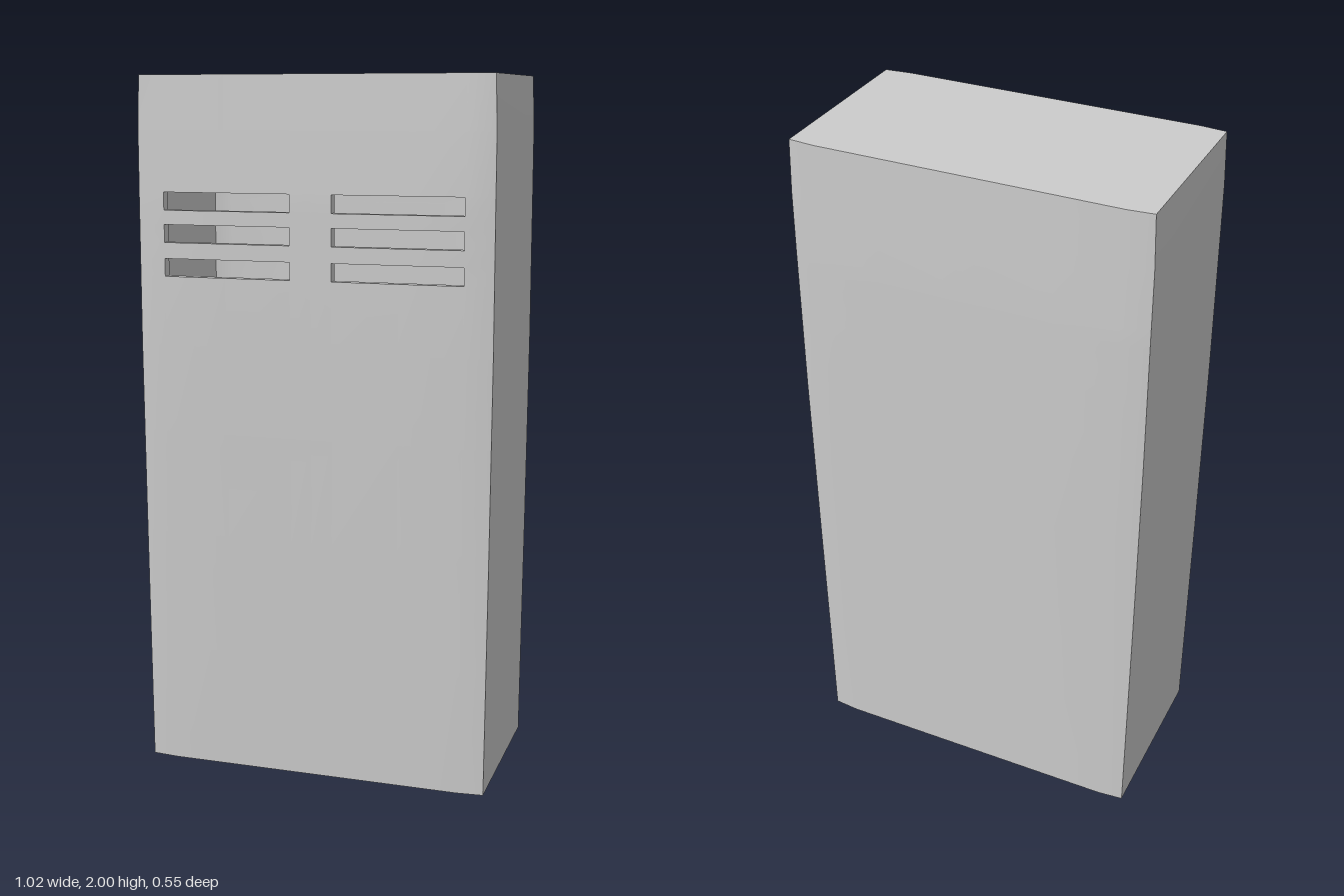
import * as THREE from 'three';

const T = 0.03;            // sheet thickness
const W = 0.51;            // nominal half width
const H = 2;
const slotX = [[-0.43, -0.06], [0.06, 0.43]];
const slotY = [[1.445, 1.495], [1.54, 1.59], [1.63, 1.68]];
const xs = [-W, -0.43, -0.25, -0.06, 0, 0.06, 0.25, 0.43, W];
const ys = [0, 0.35, 0.7, 1, 1.25, ...slotY.flat(), 1.85, H];

// piecewise linear lookup
function lerpTable(table, v) {
  for (let i = 1; i < table.length; i++) {
    const [a, fa] = table[i - 1], [b, fb] = table[i];
    if (v <= b) return fa + (fb - fa) * (v - a) / (b - a);
  }
  return table[table.length - 1][1];
}

// gentle bulge of the body
const halfX = y => lerpTable([[0, 0.505], [0.7, 0.509], [1.25, 0.511], [1.85, 0.509], [2, 0.504]], y);
const midZ = y => lerpTable([[0, 0.268], [0.7, 0.272], [1.25, 0.276], [1.68, 0.276], [2, 0.268]], y);
const halfZ = (x, y) => midZ(y) - (midZ(y) - 0.258) * 0.7 * Math.max(0, (Math.abs(x) - 0.43) / (W - 0.43));

// point on the body surface, moved inwards by inset; side is -1 (back) to 1 (front)
function point(x, y, side, inset) {
  const px = Math.abs(x) >= W ? Math.sign(x) * (halfX(y) - inset) : x;
  const py = Math.min(H - inset, Math.max(inset, y));
  return [px, py, side * (halfZ(x, y) - inset)];
}

// grid of quads through fn(u, v), facing u cross v, or the other way if flipped
function sheet(us, vs, fn, flip, skip = () => false) {
  const pos = [], index = [];
  for (const v of vs) for (const u of us) pos.push(...fn(u, v));
  const n = us.length;
  for (let j = 0; j < vs.length - 1; j++) {
    for (let i = 0; i < n - 1; i++) {
      if (skip((us[i] + us[i + 1]) / 2, (vs[j] + vs[j + 1]) / 2)) continue;
      const a = j * n + i, b = a + 1, c = b + n, d = a + n;
      index.push(...(flip ? [a, c, b, a, d, c] : [a, b, c, a, c, d]));
    }
  }
  const g = new THREE.BufferGeometry();
  g.setAttribute('position', new THREE.Float32BufferAttribute(pos, 3));
  g.setIndex(index);
  g.computeVertexNormals();
  return g;
}

const inRange = (ranges, v) => ranges.some(([a, b]) => v > a && v < b);
const inSlot = (x, y) => inRange(slotX, x) && inRange(slotY, y);

export function createModel() {
  const model = new THREE.Group();
  model.name = 'cabinet';
  const material = new THREE.MeshStandardMaterial({ color: 0xcccccc });
  const add = (parent, name, geometry) => {
    const mesh = new THREE.Mesh(geometry, material);
    mesh.name = name;
    parent.add(mesh);
  };

  // outer shell and the hollow inside it
  for (const [prefix, inset] of [['outer', 0], ['inner', T]]) {
    const shell = new THREE.Group();
    shell.name = prefix + 'Shell';
    model.add(shell);
    const inner = inset > 0;
    for (const s of [1, -1]) {
      const flip = (s < 0) !== inner;
      add(shell, prefix + (s > 0 ? 'Front' : 'Back'),
        sheet(xs, ys, (x, y) => point(x, y, s, inset), flip, s > 0 ? inSlot : undefined));
      add(shell, prefix + (s > 0 ? 'LeftSide' : 'RightSide'),
        sheet(ys, [-1, 1], (y, z) => point(s * W, y, z, inset), flip));
      add(shell, prefix + (s > 0 ? 'Top' : 'Bottom'),
        sheet([-1, 1], xs, (z, x) => point(x, s > 0 ? H : 0, z, inset), flip));
    }
  }

  // edges of the vent slots, through the thickness of the front
  const vents = new THREE.Group();
  vents.name = 'ventSlots';
  model.add(vents);
  for (const [x0, x1] of slotX) {
    for (const [y0, y1] of slotY) {
      const depth = [T, 0];
      [y0, y1].forEach((y, k) => add(vents, k ? 'slotTopEdge' : 'slotBottomEdge',
        sheet(depth, [x0, x1], (d, x) => point(x, y, 1, d), k === 1)));
      [x0, x1].forEach((x, k) => add(vents, k ? 'slotLeftEdge' : 'slotRightEdge',
        sheet([y0, y1], depth, (y, d) => point(x, y, 1, d), k === 1)));
    }
  }
  return model;
}
